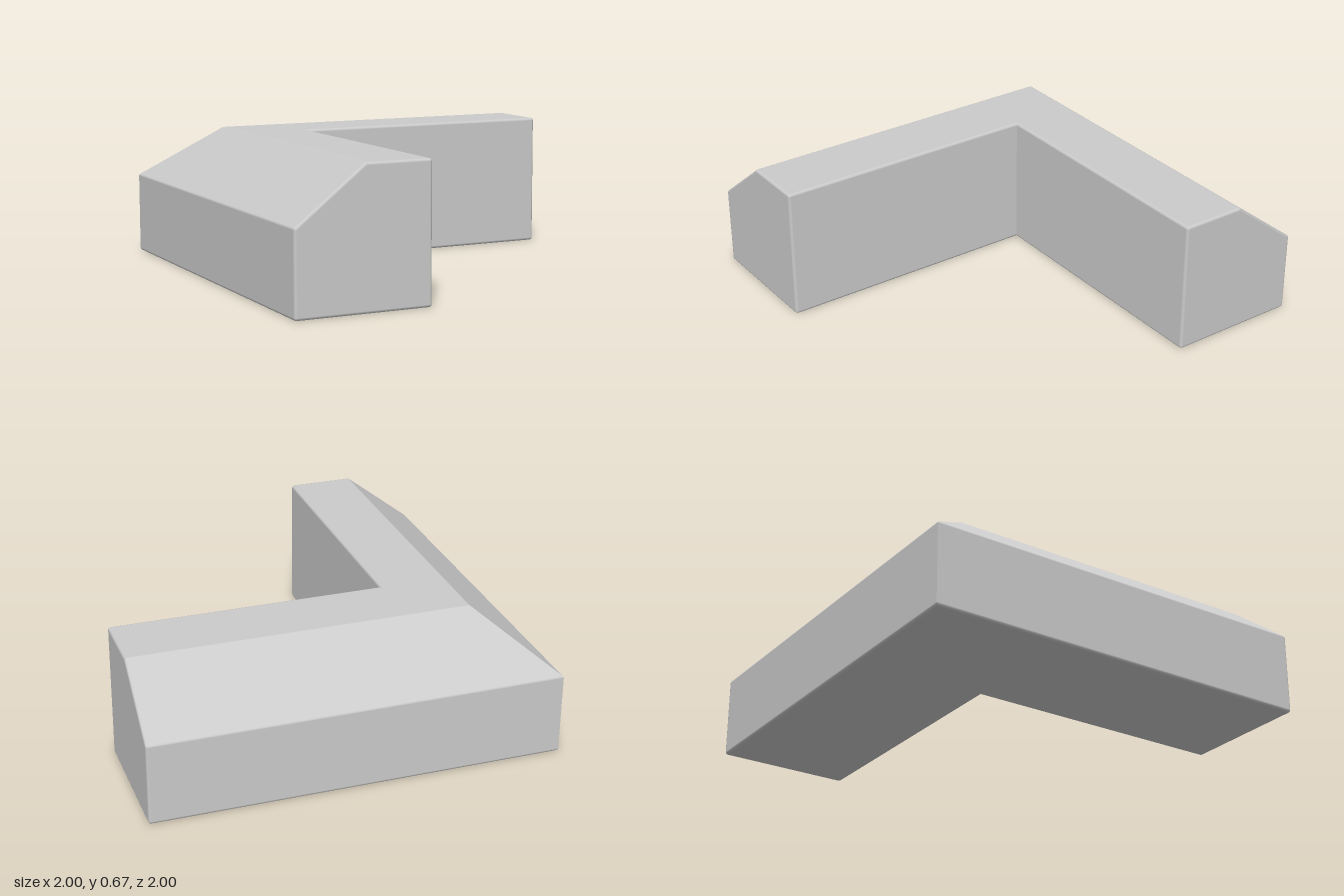
import * as THREE from 'three';

const R = 0.014;   // edge rounding
const STEPS = 3;   // segments per rounded edge

// Cross-section, counter-clockwise: distance from the outer face, height
const SECTION = [[0, 0], [0.665, 0], [0.665, 0.665], [0.34, 0.665], [0, 0.4]]
  .map(([d, y]) => new THREE.Vector2(d, y));

// Rounded section as core points with outward normals
function roundedSection() {
  const n = SECTION.length;
  const normals = SECTION.map((p, i) => {
    const e = SECTION[(i + 1) % n].clone().sub(p).normalize();
    return new THREE.Vector2(e.y, -e.x);
  });
  const points = [];
  SECTION.forEach((p, i) => {
    const n1 = normals[(i + n - 1) % n], n2 = normals[i];
    const core = p.clone().addScaledVector(n1.clone().add(n2), -R / (1 + n1.dot(n2)));
    const turn = Math.acos(n1.dot(n2));
    for (let s = 0; s <= STEPS; s++) {
      const normal = n1.clone().rotateAround(new THREE.Vector2(), turn * s / STEPS);
      points.push({ core, normal });
    }
  });
  return points;
}

// One arm, from the mitred corner to its rounded end; swap mirrors it across x = z
function armGeometry(swap) {
  const section = roundedSection(), m = section.length;
  const pos = [], nor = [], index = [];
  const put = (list, a, y, b) => list.push(...(swap ? [b, y, a] : [a, y, b]));
  const tri = (a, b, c) => index.push(...(swap ? [a, c, b] : [a, b, c]));

  // Mitre ring, then the rings of the rounded end
  for (let ring = 0; ring <= STEPS + 1; ring++) {
    const t = Math.max(ring - 1, 0) / STEPS * Math.PI / 2;
    for (const { core, normal } of section) {
      const across = -1 + core.x + normal.x * R * Math.cos(t);
      const along = ring === 0 ? across : 1 - R + R * Math.sin(t);
      put(pos, across, core.y + normal.y * R * Math.cos(t), along);
      put(nor, normal.x * Math.cos(t), normal.y * Math.cos(t), Math.sin(t));
    }
  }
  for (let ring = 0; ring <= STEPS; ring++) {
    for (let k = 0; k < m; k++) {
      const a = ring * m + k, b = ring * m + (k + 1) % m;
      tri(a, b, b + m);
      tri(a, b + m, a + m);
    }
  }

  // Flat end face
  const centre = pos.length / 3, last = (STEPS + 1) * m;
  put(pos, -0.65, 0.3, 1);
  put(nor, 0, 0, 1);
  for (let k = 0; k < m; k++) tri(centre, last + k, last + (k + 1) % m);

  const g = new THREE.BufferGeometry();
  g.setAttribute('position', new THREE.Float32BufferAttribute(pos, 3));
  g.setAttribute('normal', new THREE.Float32BufferAttribute(nor, 3));
  g.setIndex(index);
  return g;
}

export function createModel() {
  const group = new THREE.Group();
  group.name = 'cornerBlock';
  const material = new THREE.MeshStandardMaterial({ color: 0xcccccc });
  for (const [name, swap] of [['sideArm', false], ['backArm', true]]) {
    const mesh = new THREE.Mesh(armGeometry(swap), material);
    mesh.name = name;
    group.add(mesh);
  }
  return group;
}
